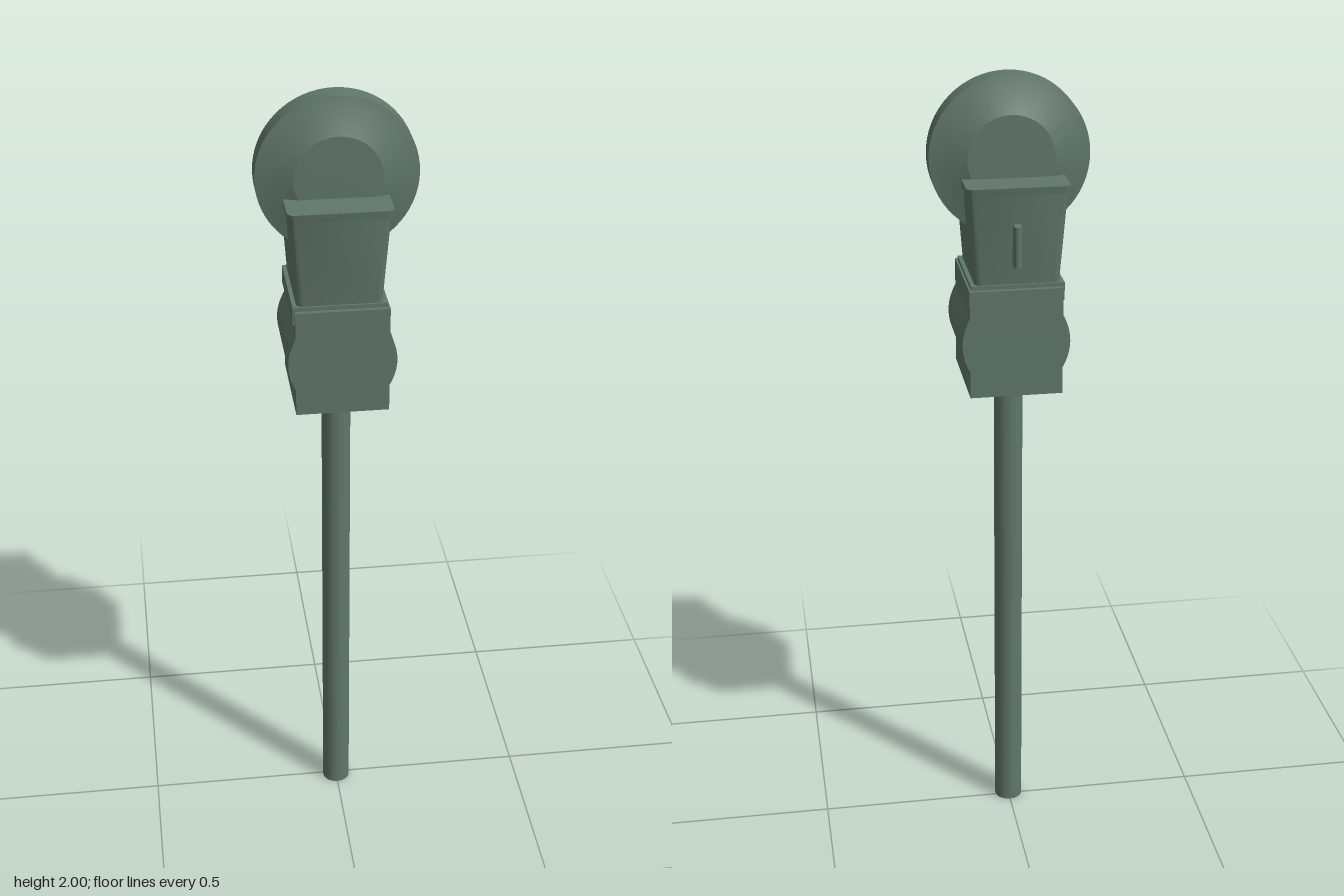
import * as THREE from 'three';
import { toCreasedNormals } from 'three/addons/utils/BufferGeometryUtils.js';

const MID_Z = 0.007;

// Upright block with rounded corners, tapering from bottom size to top size.
function taperedBlock(y0, y1, bottom, top, radius) {
  const [w, d] = top, x = w / 2, z = d / 2, r = radius;
  const s = new THREE.Shape();
  s.moveTo(-x + r, -z);
  s.lineTo(x - r, -z);
  s.absarc(x - r, -z + r, r, -Math.PI / 2, 0);
  s.absarc(x - r, z - r, r, 0, Math.PI / 2);
  s.absarc(-x + r, z - r, r, Math.PI / 2, Math.PI);
  s.absarc(-x + r, -z + r, r, Math.PI, Math.PI * 1.5);
  const g = new THREE.ExtrudeGeometry(s, { depth: y1 - y0, bevelEnabled: false, curveSegments: 6 });
  g.rotateX(-Math.PI / 2);
  const p = g.attributes.position;
  for (let i = 0; i < p.count; i++) {
    const t = p.getY(i) / (y1 - y0);
    p.setX(i, p.getX(i) * THREE.MathUtils.lerp(bottom[0] / w, 1, t));
    p.setZ(i, p.getZ(i) * THREE.MathUtils.lerp(bottom[1] / d, 1, t));
  }
  g.translate(0, y0, 0);
  return toCreasedNormals(g, 0.5);
}

export function createModel() {
  const group = new THREE.Group();
  const greyGreen = new THREE.MeshStandardMaterial({ color: 0x60776b });
  greyGreen.name = 'greyGreen';
  const add = (name, geometry, x = 0, y = 0, z = MID_Z) => {
    const mesh = new THREE.Mesh(geometry, greyGreen);
    mesh.name = name;
    mesh.position.set(x, y, z);
    group.add(mesh);
  };

  // Long round pole
  add('pole', new THREE.CylinderGeometry(0.036, 0.036, 1.26, 32), 0, 0.63);

  // Lower body with a rounded bulge on each side
  const outline = new THREE.Shape();
  outline.moveTo(-0.113, 1.24);
  outline.lineTo(0.113, 1.24);
  outline.lineTo(0.113, 1.307);
  outline.quadraticCurveTo(0.149, 1.374, 0.113, 1.442);
  outline.lineTo(0.113, 1.51);
  outline.lineTo(-0.113, 1.51);
  outline.lineTo(-0.113, 1.442);
  outline.quadraticCurveTo(-0.149, 1.374, -0.113, 1.307);
  const body = new THREE.ExtrudeGeometry(outline, { depth: 0.265, bevelEnabled: false, curveSegments: 16 });
  body.translate(0, 0, -0.1325);
  add('body', toCreasedNormals(body, 0.35));

  // Thin collar between body and holder
  add('collar', new THREE.BoxGeometry(0.226, 0.045, 0.242), -0.005, 1.4975);

  // Flared holder with a thin lip
  add('holder', taperedBlock(1.51, 1.745, [0.204, 0.23], [0.236, 0.272], 0.018), -0.005);
  add('holderLip', taperedBlock(1.742, 1.762, [0.244, 0.278], [0.248, 0.285], 0.018), -0.005);

  // Small upright catch on the back
  add('catch', taperedBlock(1.572, 1.672, [0.017, 0.06], [0.017, 0.06], 0.007), 0, 0, -0.122);

  // Wheel with a flat hub and sloping sides
  const half = [[0, 0.0555], [0.105, 0.0545], [0.16, 0.0345], [0.193, 0.0275]];
  const profile = [
    ...half.map(([r, z]) => new THREE.Vector2(r, -z)),
    ...half.slice().reverse().map(([r, z]) => new THREE.Vector2(r, z)),
  ];
  const wheel = new THREE.LatheGeometry(profile, 64);
  wheel.rotateX(Math.PI / 2);
  add('wheel', toCreasedNormals(wheel, 0.25), 0, 1.807);

  return group;
}
